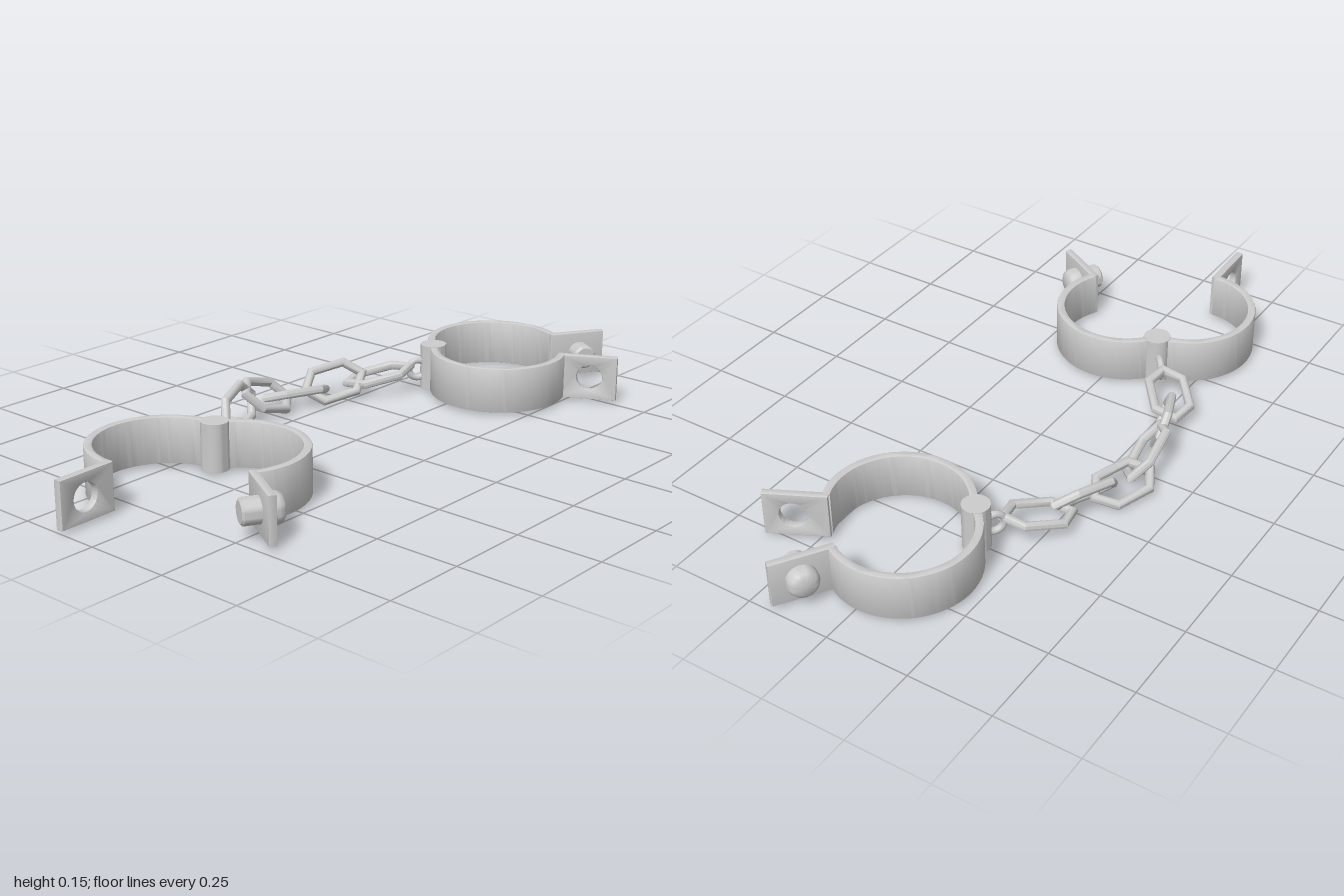
import * as THREE from 'three';
import { toCreasedNormals } from 'three/addons/utils/BufferGeometryUtils.js';

const metal = new THREE.MeshStandardMaterial({ color: 0xcccccc });
const BASE = 0.01, HEIGHT = 0.137, MID = 0.079, R = 0.196, THICK = 0.024, TAB_END = 0.368;

function add(parent, name, geometry, x = 0, y = 0, z = 0) {
  const mesh = new THREE.Mesh(geometry, metal);
  mesh.name = name;
  mesh.position.set(x, y, z);
  parent.add(mesh);
  return mesh;
}

function plate(shape, depth) {
  const b = 0.004;
  const g = new THREE.ExtrudeGeometry(shape, {
    depth: depth - 2 * b, bevelThickness: b, bevelSize: b, bevelOffset: -b, bevelSegments: 2, curveSegments: 40,
  });
  g.translate(0, 0, b);
  return toCreasedNormals(g, 0.6);
}

// Half cuff: hinge end on +x, tab on -x; side picks the half the band curves through
function halfCuff(name, center, toTab, side, hasBolt) {
  const half = new THREE.Group();
  half.name = name;
  half.position.set(center[0], 0, center[1]);
  half.rotation.y = Math.atan2(toTab[1], -toTab[0]);

  const ring = new THREE.Shape();
  const end = side * Math.PI;
  ring.absarc(0, 0, R + THICK / 2, 0, end, side < 0);
  ring.absarc(0, 0, R - THICK / 2, end, 0, side > 0);
  ring.closePath();
  add(half, 'cuffBand', plate(ring, HEIGHT).rotateX(-Math.PI / 2), 0, BASE, 0);

  // Flat tab, with a hole on the half that receives the bolt
  const tab = new THREE.Shape();
  const inner = -R + 0.008;
  tab.moveTo(-TAB_END, BASE).lineTo(inner, BASE).lineTo(inner, BASE + HEIGHT).lineTo(-TAB_END, BASE + HEIGHT);
  tab.closePath();
  const holeX = -0.285;
  if (!hasBolt) tab.holes.push(new THREE.Path().absarc(holeX, MID, 0.039, 0, Math.PI * 2, true));
  add(half, 'cuffTab', plate(tab, THICK), 0, 0, -THICK / 2);

  // Bolt: domed head on the band side, pin towards the mating tab
  if (hasBolt) {
    const profile = [[0, -0.064], [0.03, -0.064], [0.037, -0.058], [0.037, 0.01], [0.044, 0.01],
      [0.044, 0.032], [0.038, 0.045], [0.027, 0.052], [0, 0.054]].map(([r, y]) => new THREE.Vector2(r, y));
    const bolt = toCreasedNormals(new THREE.LatheGeometry(profile, 28), 0.6);
    bolt.rotateX(-side * -Math.PI / 2 * -1);
    add(half, 'lockingBolt', bolt, holeX, MID, 0);
  }
  return half;
}

function cuff(name, hinge, holeCenter, boltCenter, outward) {
  const group = new THREE.Group();
  group.name = name;
  for (const [part, c, side, bolt] of [['receivingHalf', holeCenter, 1, false], ['boltHalf', boltCenter, -1, true]]) {
    group.add(halfCuff(part, c, [c[0] - hinge[0], c[1] - hinge[1]], side, bolt));
  }
  const pin = toCreasedNormals(new THREE.CylinderGeometry(0.04, 0.04, HEIGHT + 0.003, 28), 0.6);
  add(group, 'hingePin', pin, hinge[0], BASE + HEIGHT / 2, hinge[1]);
  // Small eye that holds the end link
  const eye = add(group, 'chainEye', new THREE.TorusGeometry(0.028, 0.011, 8, 20),
    hinge[0] + outward[0] * 0.05, 0.07, hinge[1] + outward[1] * 0.05);
  eye.rotation.y = Math.atan2(-outward[1], outward[0]);
  return group;
}

// Elongated hexagonal link swept with mitred corners
function linkGeometry() {
  const pts = [[0.1, 0], [0.056, 0.051], [-0.056, 0.051], [-0.1, 0], [-0.056, -0.051], [0.056, -0.051]]
    .map(([x, y]) => new THREE.Vector2(x, y));
  const n = pts.length, sides = 10, r = 0.0135, pos = [], idx = [];
  pts.forEach((p, i) => {
    const a = p.clone().sub(pts[(i + n - 1) % n]).normalize();
    const b = pts[(i + 1) % n].clone().sub(p).normalize();
    const t = a.clone().add(b).normalize();
    const miter = new THREE.Vector2(t.y, -t.x).divideScalar(t.dot(a));
    for (let j = 0; j < sides; j++) {
      const q = j / sides * Math.PI * 2, c = Math.cos(q) * r;
      pos.push(p.x + miter.x * c, p.y + miter.y * c, Math.sin(q) * r);
      const k = (j + 1) % sides, m = (i + 1) % n;
      const A = i * sides + j, B = m * sides + j, C = m * sides + k, D = i * sides + k;
      idx.push(A, B, C, A, C, D);
    }
  });
  const g = new THREE.BufferGeometry();
  g.setAttribute('position', new THREE.Float32BufferAttribute(pos, 3));
  g.setIndex(idx);
  return toCreasedNormals(g, 0.7);
}

export function createModel() {
  const model = new THREE.Group();
  model.name = 'shackles';

  model.add(cuff('rightCuff', [-0.435, -0.136], [-0.633, -0.131], [-0.535, 0.035], [0.77, -0.64]));
  model.add(cuff('leftCuff', [0.51, -0.123], [0.602, 0.059], [0.679, -0.013], [-0.8, -0.6]));

  // Chain links: centre, long axis, face normal
  const chain = new THREE.Group();
  chain.name = 'chain';
  const geometry = linkGeometry();
  const links = [
    [[-0.297, 0.066, -0.257], [0.77, -0.18, -0.64], [0.1, 1, -0.1]],
    [[-0.166, 0.072, -0.31], [0.91, 0.13, -0.38], [0.36, 0.3, 0.88]],
    [[-0.02, 0.068, -0.337], [0.95, -0.28, -0.08], [0.2, 0.75, 0.65]],
    [[0.11, 0.04, -0.338], [0.93, -0.02, 0.33], [0.05, 0.9, -0.35]],
    [[0.227, 0.06, -0.287], [0.93, 0.12, 0.32], [-0.2, 0.65, 0.7]],
    [[0.368, 0.06, -0.226], [0.79, 0.2, 0.6], [-0.15, 1, -0.1]],
  ];
  for (const [center, axis, normal] of links) {
    const x = new THREE.Vector3(...axis).normalize();
    const y = new THREE.Vector3(...normal).cross(x).normalize();
    const z = x.clone().cross(y);
    const link = add(chain, 'chainLink', geometry, ...center);
    link.quaternion.setFromRotationMatrix(new THREE.Matrix4().makeBasis(x, y, z));
  }
  model.add(chain);
  return model;
}
